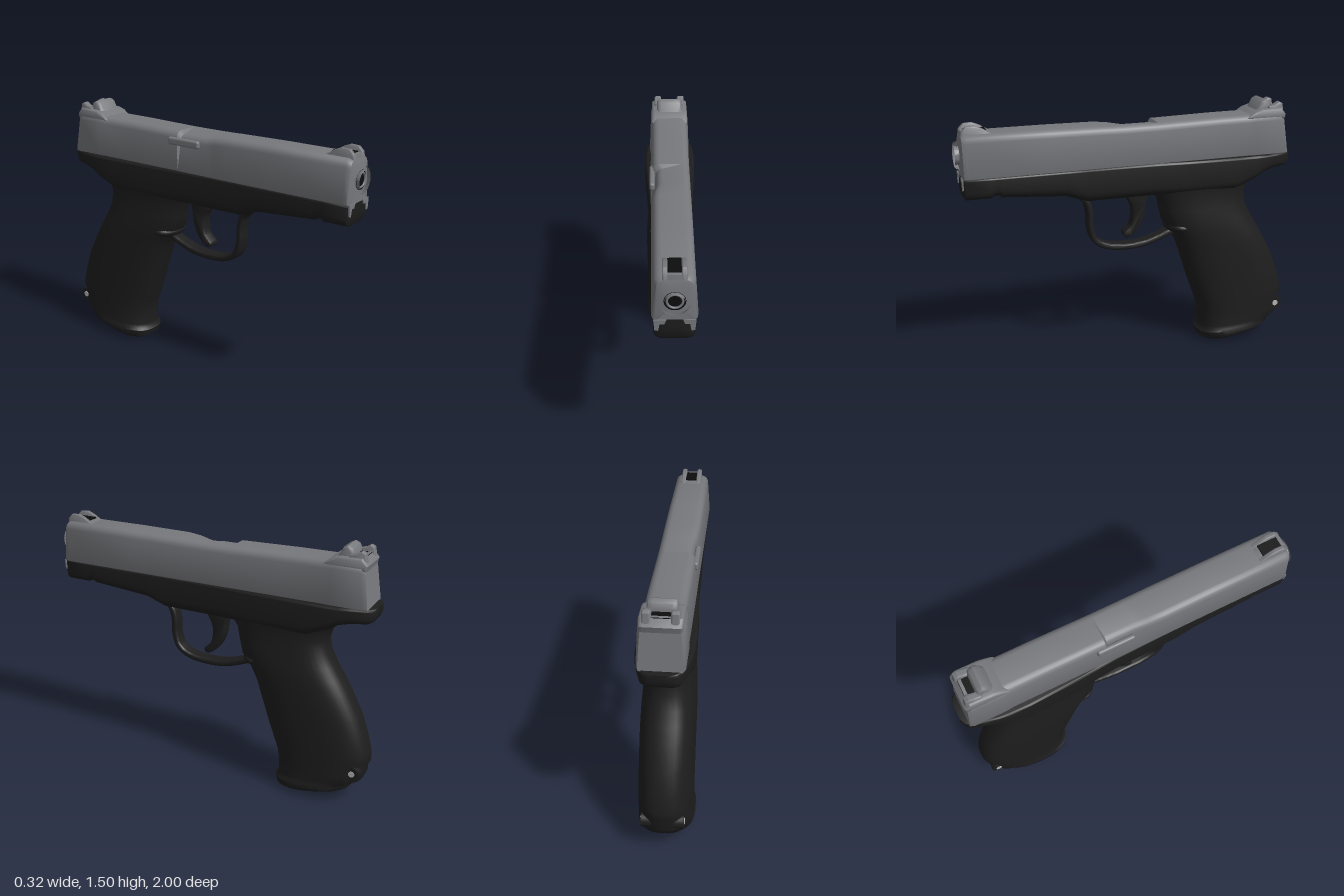
import * as THREE from 'three';
import { toCreasedNormals } from 'three/addons/utils/BufferGeometryUtils.js';
import { RoundedBoxGeometry } from 'three/addons/geometries/RoundedBoxGeometry.js';

const mat = (name, color) => {
  const m = new THREE.MeshStandardMaterial({ color });
  m.name = name;
  return m;
};

// Skin a series of closed rings, cap both ends, and face it outward.
function loft(rings, crease = 0.7) {
  const n = rings[0].length, pts = rings.flat(), idx = [];
  for (let i = 0; i < rings.length - 1; i++)
    for (let j = 0; j < n; j++) {
      const a = i * n + j, b = i * n + (j + 1) % n;
      idx.push(a, b, a + n, b, b + n, a + n);
    }
  const cap = (start, flip) => {
    const c = new THREE.Vector3();
    for (let j = 0; j < n; j++) c.addScaledVector(pts[start + j], 1 / n);
    const k = pts.push(c) - 1;
    for (let j = 0; j < n; j++) {
      const a = start + j, b = start + (j + 1) % n;
      idx.push(k, flip ? b : a, flip ? a : b);
    }
  };
  cap(0, true);
  cap((rings.length - 1) * n, false);
  let volume = 0;
  const t = new THREE.Vector3();
  for (let i = 0; i < idx.length; i += 3)
    volume += pts[idx[i]].dot(t.crossVectors(pts[idx[i + 1]], pts[idx[i + 2]]));
  if (volume < 0) idx.reverse();
  const g = new THREE.BufferGeometry().setFromPoints(pts);
  g.setIndex(idx);
  return toCreasedNormals(g, crease);
}

// Rounded section: half widths and corner radii at the bottom and the top.
function section(wb, wt, y0, y1, rb, rt) {
  const out = [];
  const corners = [[wt - rt, y1 - rt, rt, 0], [rt - wt, y1 - rt, rt, 1], [rb - wb, y0 + rb, rb, 2], [wb - rb, y0 + rb, rb, 3]];
  for (const [x, y, r, q] of corners)
    for (let i = 0; i <= 5; i++) {
      const a = (q + i / 5) * Math.PI / 2;
      out.push([x + r * Math.cos(a), y + r * Math.sin(a)]);
    }
  return out;
}

// Extrude a side profile, given as [z, y], across x.
function side(profile, width, bevel = 0.006, smooth = false) {
  const p = profile.map(([z, y]) => new THREE.Vector2(z, y));
  const shape = new THREE.Shape();
  if (smooth) shape.setFromPoints(new THREE.CatmullRomCurve3(p.map(v => new THREE.Vector3(v.x, v.y, 0)), true).getPoints(60));
  else shape.setFromPoints(p);
  const depth = width - 2 * bevel;
  const g = new THREE.ExtrudeGeometry(shape, { depth, bevelEnabled: true, bevelSize: bevel * 0.5, bevelThickness: bevel, bevelSegments: 2 });
  g.translate(0, 0, -depth / 2).rotateY(-Math.PI / 2);
  return toCreasedNormals(g, 0.7);
}

export function createModel() {
  const group = new THREE.Group();
  const grey = mat('slideGrey', 0x77787c), black = mat('frameBlack', 0x1d1d1d);
  const dark = mat('boreBlack', 0x0d0d0d), pale = mat('pinSilver', 0xb4b4b6);
  const add = (name, geo, material, x = 0, y = 0, z = 0) => {
    const m = new THREE.Mesh(geo, material);
    m.name = name;
    m.position.set(x, y, z);
    group.add(m);
    return m;
  };

  // Slide: z, bottom and top half widths, top y, ejection port depth
  const slideRows = [
    [0.972, 0.095, 0.07, 1.39, 0], [0.965, 0.108, 0.088, 1.415, 0], [0.94, 0.114, 0.1, 1.425, 0],
    [0.5, 0.115, 0.103, 1.424, 0], [0.2, 0.116, 0.104, 1.42, 0], [0.12, 0.116, 0.104, 1.418, 0.3],
    [0.04, 0.116, 0.104, 1.417, 1], [-0.13, 0.117, 0.104, 1.417, 1], [-0.145, 0.117, 0.104, 1.417, 0],
    [-0.5, 0.118, 0.106, 1.424, 0], [-0.7, 0.118, 0.106, 1.425, 0], [-0.74, 0.122, 0.113, 1.43, 0],
    [-0.93, 0.122, 0.113, 1.43, 0], [-0.953, 0.112, 0.1, 1.42, 0]];
  add('slide', loft(slideRows.map(([z, wb, wt, top, port]) =>
    section(wb, wt, 1.185, top, 0.012, 0.042).map(([x, y]) => {
      const cut = x < -0.03 && y > 1.34 ? port : 0;
      const lean = z < -0.9 ? (y - 1.185) * 0.13 : 0;
      return new THREE.Vector3(x + cut * 0.018, y - cut * 0.02, z + lean);
    }))), grey);
  add('extractor', new RoundedBoxGeometry(0.03, 0.045, 0.22, 3, 0.013), grey, -0.107, 1.36, -0.09);

  // Grey corners running down the front face
  for (const s of [-1, 1]) {
    const leg = new THREE.Shape([[0.04, 1.19], [0.05, 1.165], [0.073, 1.165], [0.08, 1.125], [0.098, 1.13], [0.103, 1.19]]
      .map(([x, y]) => new THREE.Vector2(s * x, y)));
    add('slideFrontCorner', new THREE.ExtrudeGeometry(leg, { depth: 0.008, bevelEnabled: false }), grey, 0, 0, 0.97);
  }

  // Barrel end and bore
  const bushing = [[0.088, 0.95], [0.086, 0.972], [0.076, 0.98], [0.073, 0.994], [0.066, 1], [0.052, 1], [0.05, 0.975]]
    .map(([r, h]) => new THREE.Vector2(r, h));
  const turn = (pts) => new THREE.LatheGeometry(pts, 40).rotateX(Math.PI / 2);
  const bushMesh = add('barrelBushing', toCreasedNormals(turn(bushing.reverse()), 0.7), grey, 0, 1.305, 0);
  bushMesh.material = grey;
  add('muzzleGroove', new THREE.RingGeometry(0.041, 0.053, 40), dark, 0, 1.305, 0.981);
  add('barrelRim', new THREE.TorusGeometry(0.038, 0.006, 10, 40), grey, 0, 1.305, 0.982);
  add('bore', new THREE.CircleGeometry(0.037, 32), dark, 0, 1.305, 0.98);
  group.getObjectByName('barrelBushing').geometry.computeBoundingSphere();

  // Front sight: two grey ears with a dark blade between
  const ear = [[0.964, 1.4], [0.958, 1.44], [0.935, 1.463], [0.89, 1.466], [0.85, 1.45], [0.81, 1.425], [0.76, 1.41]];
  for (const s of [-1, 1]) add('frontSightEar', side(ear, 0.026, 0.008), grey, s * 0.046, 0, 0);
  add('frontSightBase', side(ear.map(([z, y]) => [z, Math.min(y, 1.437)]), 0.08), grey);
  add('frontSightBlade', new THREE.BoxGeometry(0.068, 0.008, 0.115), dark, 0, 1.439, 0.882);

  // Rear sight: base, raised wall, horns and dark notch
  const base = [[-0.7, 1.41], [-0.74, 1.432], [-0.78, 1.445], [-0.9, 1.45], [-0.925, 1.42], [-0.92, 1.4]];
  add('rearSightBase', side(base, 0.215, 0.02), grey);
  const wall = [[-0.74, 1.41], [-0.775, 1.45], [-0.795, 1.488], [-0.812, 1.496], [-0.828, 1.488], [-0.838, 1.465], [-0.84, 1.41]];
  add('rearSightWall', side(wall, 0.15, 0.025), grey);
  const horn = [[-0.82, 1.41], [-0.835, 1.464], [-0.87, 1.472], [-0.895, 1.487], [-0.91, 1.48], [-0.925, 1.41]];
  for (const s of [-1, 1]) add('rearSightHorn', side(horn, 0.042, 0.012), grey, s * 0.07, 0, 0);
  add('rearSightNotch', new THREE.BoxGeometry(0.096, 0.009, 0.075), dark, 0, 1.455, -0.87);

  // Frame: z, bottom y, half width, lower corner radius
  const frameRows = [
    [0.972, 1.085, 0.09, 0.035], [0.96, 1.066, 0.104, 0.045], [0.82, 1.066, 0.106, 0.045], [0.81, 1.08, 0.106, 0.04],
    [0.775, 1.08, 0.106, 0.04], [0.765, 1.066, 0.107, 0.045], [0.6, 1.052, 0.108, 0.05], [0.4, 1.035, 0.11, 0.055],
    [0.28, 0.992, 0.112, 0.06], [-0.1, 0.992, 0.12, 0.06], [-0.3, 0.995, 0.137, 0.05], [-0.62, 1, 0.152, 0.05],
    [-0.74, 1.05, 0.15, 0.045], [-0.8, 1.085, 0.145, 0.04], [-0.87, 1.1, 0.13, 0.04], [-0.95, 1.103, 0.105, 0.035],
    [-0.975, 1.115, 0.085, 0.03], [-0.987, 1.14, 0.06, 0.02]];
  add('frame', loft(frameRows.map(([z, b, w, r]) =>
    section(w, w, b, 1.19, r, 0.014).map(([x, y]) => new THREE.Vector3(x, y, z))), 0.9), black);

  // Grip: front y, front z, back y, back z, half width
  const gripRows = [
    [0.005, -0.485, 0.088, -0.9, 0.14], [0.022, -0.452, 0.1, -0.91, 0.157], [0.062, -0.44, 0.12, -0.912, 0.158],
    [0.075, -0.455, 0.128, -0.925, 0.153], [0.1, -0.458, 0.145, -0.965, 0.152], [0.17, -0.455, 0.185, -0.982, 0.15],
    [0.23, -0.445, 0.235, -0.98, 0.15], [0.27, -0.43, 0.27, -0.995, 0.15], [0.31, -0.415, 0.31, -0.992, 0.15],
    [0.4, -0.382, 0.4, -0.968, 0.15], [0.52, -0.342, 0.52, -0.925, 0.15], [0.65, -0.3, 0.65, -0.857, 0.15],
    [0.73, -0.26, 0.73, -0.81, 0.148], [0.8, -0.205, 0.8, -0.766, 0.144], [0.88, -0.185, 0.88, -0.726, 0.136],
    [0.95, -0.17, 0.95, -0.715, 0.129], [1.01, -0.13, 1.01, -0.73, 0.13], [1.06, -0.1, 1.06, -0.77, 0.138],
    [1.12, -0.1, 1.12, -0.87, 0.135]];
  add('grip', loft(gripRows.map(([yf, zf, yb, zb, w]) => Array.from({ length: 40 }, (_, i) => {
    const a = i / 40 * Math.PI * 2, e = 2 / 2.6;
    const c = Math.sign(Math.cos(a)) * Math.abs(Math.cos(a)) ** e, s = Math.sign(Math.sin(a)) * Math.abs(Math.sin(a)) ** e;
    const t = (1 - c) / 2;
    return new THREE.Vector3(w * s, yf + (yb - yf) * t, zf + (zb - zf) * t);
  })), 0.8), black);
  const shelf = add('gripShoulder', new THREE.SphereGeometry(1, 28, 18), black, 0, 0.775, -0.3);
  shelf.scale.set(0.125, 0.045, 0.085);

  // Cross pin in its boss
  const cross = (r, len) => new THREE.CylinderGeometry(r, r, len, 28).rotateZ(Math.PI / 2);
  add('pinBoss', cross(0.042, 0.23), black, 0, 0.21, -0.93);
  add('gripPin', cross(0.018, 0.238), pale, 0, 0.21, -0.93);

  // Trigger guard: a rounded strap swept along a side curve of [z, y]
  const path = new THREE.CatmullRomCurve3([[0.33, 1.03], [0.27, 0.975], [0.25, 0.9], [0.248, 0.82], [0.22, 0.735], [0.15, 0.692],
    [0.03, 0.676], [-0.08, 0.684], [-0.17, 0.71], [-0.25, 0.74], [-0.34, 0.75]].map(([z, y]) => new THREE.Vector3(0, y, z)));
  const strap = section(0.042, 0.042, -0.018, 0.018, 0.014, 0.014);
  add('triggerGuard', loft(path.getPoints(50).map((p, i) => {
    const d = path.getTangent(i / 50);
    return strap.map(([x, h]) => new THREE.Vector3(x, p.y + h * d.z, p.z - h * d.y));
  }), 0.9), black);

  // Trigger
  const blade = [[0.025, 1.03], [0.015, 0.97], [-0.01, 0.92], [-0.015, 0.86], [0, 0.8], [0.042, 0.755], [0.035, 0.74],
    [0.01, 0.742], [-0.04, 0.79], [-0.072, 0.86], [-0.082, 0.93], [-0.095, 0.985], [-0.1, 1.03]];
  add('trigger', side(blade, 0.075, 0.012, true), black);

  return group;
}
